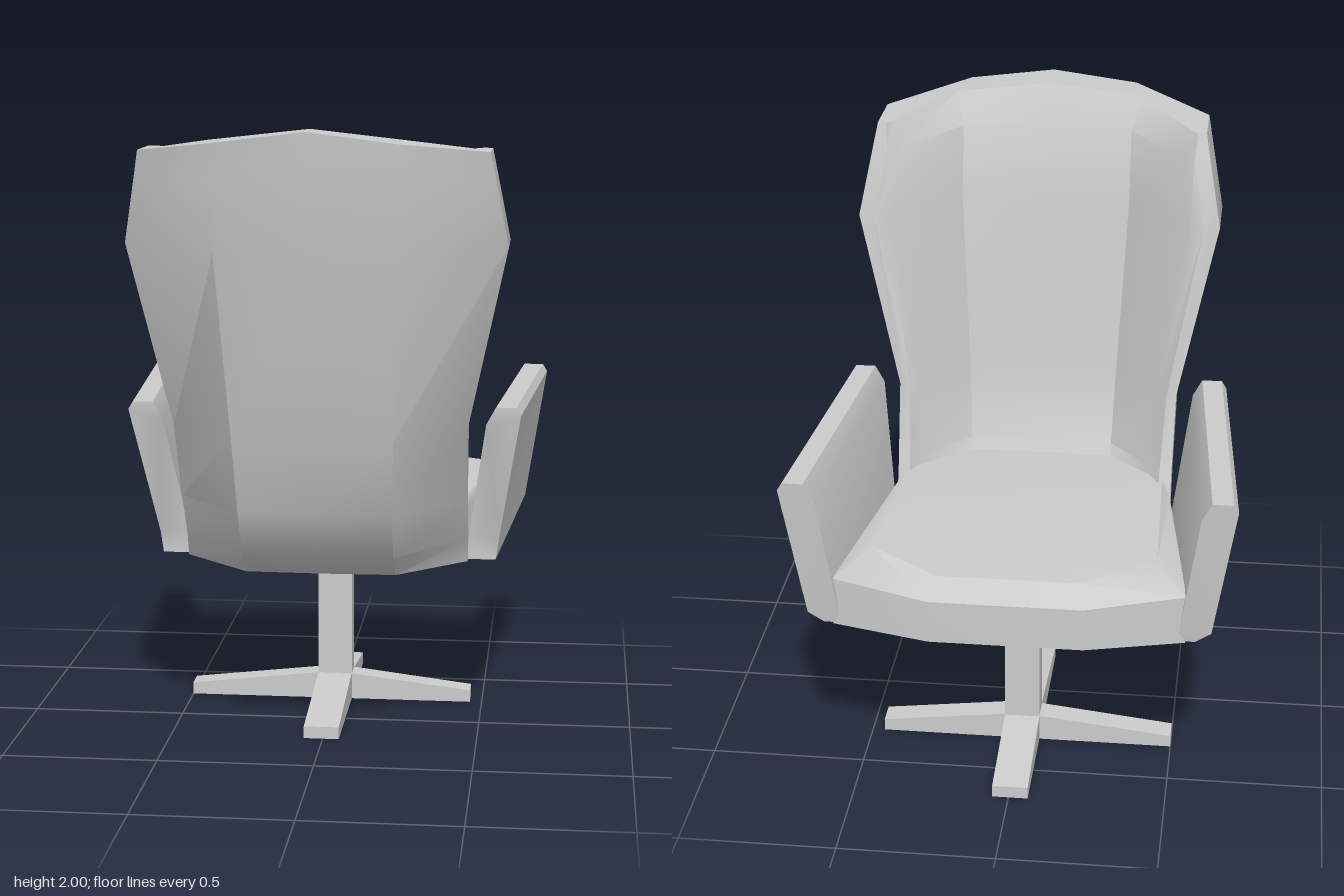
import * as THREE from 'three';
import { toCreasedNormals } from 'three/addons/utils/BufferGeometryUtils.js';

const material = new THREE.MeshStandardMaterial({ color: 0xcccccc });

// Skin a list of equal-length rings; caps join point i to point n-1-i.
function loft(rings, crease) {
  const n = rings[0].length, last = (rings.length - 1) * n;
  const pos = rings.flat(2), idx = [];
  const quad = (a, b, c, d) => idx.push(a, b, c, a, c, d);
  for (let r = 0; r < rings.length - 1; r++) {
    for (let i = 0; i < n; i++) {
      const j = (i + 1) % n, a = r * n, b = a + n;
      quad(a + i, a + j, b + j, b + i);
    }
  }
  for (let i = 0; i < n / 2 - 1; i++) {
    const k = n - 1 - i;
    quad(i, k, k - 1, i + 1);
    quad(last + i, last + i + 1, last + k - 1, last + k);
  }
  // Turn the faces outward if the enclosed volume is negative
  const v = (i) => new THREE.Vector3().fromArray(pos, i * 3);
  let volume = 0;
  for (let i = 0; i < idx.length; i += 3) {
    volume += v(idx[i]).dot(v(idx[i + 1]).cross(v(idx[i + 2])));
  }
  if (volume < 0) idx.reverse();
  const g = new THREE.BufferGeometry();
  g.setAttribute('position', new THREE.Float32BufferAttribute(pos, 3));
  g.setIndex(idx);
  return toCreasedNormals(g, crease);
}

// Flat outline in x/y given a depth, centred along z
function prism(points, depth) {
  const shape = new THREE.Shape(points.map(([x, y]) => new THREE.Vector2(x, y)));
  return new THREE.ExtrudeGeometry(shape, { depth, bevelEnabled: false }).translate(0, 0, -depth / 2);
}

// Mirror a half outline in x to a closed loop
const mirrorLoop = (half) => [...half, ...half.slice().reverse().map(([x, y, z]) => [-x, y, z])];

// One level of the wrap-around backrest: outer shell, wing edge, inner panel
function backRing({ y, crest = 0, w, zb, bx = 0.28, zs, zf, inner, panel }) {
  const [ix, iz] = inner, [px, pz] = panel;
  const mid = y + crest * 0.5, top = y + crest;
  const shell = [[bx, mid, zb], [w, y, zs], [w, y, zf]];
  const face = [[(w + ix) / 2, y, Math.min(zf, iz) - 0.012], [ix, y, iz], [px, mid, pz]];
  const flip = (list) => list.slice().reverse().map(([x, h, z]) => [-x, h, z]);
  return [...flip(shell), [0, top, zb + 0.005], ...shell, ...face, [0, top, pz + 0.01], ...flip(face)];
}

export function createModel() {
  const chair = new THREE.Group();
  const add = (name, geometry) => {
    const mesh = new THREE.Mesh(geometry, material);
    mesh.name = name;
    chair.add(mesh);
    return mesh;
  };

  // Crossed foot with arms tapering towards the tips
  const foot = (a, b, w0, w1) => [[a, 0], [b, 0], [b, 0.04], [w1, 0.09], [w0, 0.09], [a, 0.04]];
  add('footCrossbar', prism(foot(-0.5, 0.46, -0.06, 0.05), 0.08)).position.z = -0.27;
  add('footLengthBar', prism(foot(-0.47, 0.42, -0.04, 0.04), 0.115).rotateY(Math.PI / 2))
    .position.set(-0.005, 0, -0.245);

  // Column and swivel plate
  add('column', new THREE.BoxGeometry(0.115, 0.48, 0.08)).position.set(-0.005, 0.28, -0.27);
  add('swivelPlate', prism([[-0.24, 0.58], [-0.24, 0.565], [-0.19, 0.535], [-0.06, 0.5], [0.06, 0.5],
    [0.19, 0.535], [0.24, 0.565], [0.24, 0.58]], 0.28)).position.z = -0.26;

  // Seat cushion: underside, upper rim, slightly raised top
  add('seat', loft([
    mirrorLoop([[0.24, 0.6, -0.73], [0.55, 0.6, -0.65], [0.46, 0.57, 0.04], [0.24, 0.57, 0.28]]),
    mirrorLoop([[0.24, 0.74, -0.73], [0.55, 0.76, -0.65], [0.46, 0.75, 0.04], [0.24, 0.73, 0.33]]),
    mirrorLoop([[0.22, 0.8, -0.67], [0.45, 0.8, -0.5], [0.43, 0.78, 0.12], [0.24, 0.76, 0.35]]),
  ], 0.6));

  // Backrest
  add('backrest', loft([
    { y: 0.57, w: 0.46, zb: 0.28, bx: 0.24, zs: 0.07, zf: 0.04, inner: [0.38, 0.04], panel: [0.24, 0.15] },
    { y: 0.65, w: 0.46, zb: 0.38, bx: 0.24, zs: 0.1, zf: 0.045, inner: [0.38, 0.06], panel: [0.24, 0.22] },
    { y: 0.8, w: 0.46, zb: 0.47, bx: 0.24, zs: 0.2, zf: 0.1, inner: [0.38, 0.17], panel: [0.24, 0.33] },
    { y: 1.05, w: 0.465, zb: 0.535, bx: 0.25, zs: 0.31, zf: 0.2, inner: [0.4, 0.22], panel: [0.25, 0.38] },
    { y: 1.64, w: 0.59, zb: 0.68, zs: 0.43, zf: 0.22, inner: [0.49, 0.23], panel: [0.28, 0.45] },
    { y: 1.85, crest: 0.03, w: 0.55, zb: 0.71, zs: 0.48, zf: 0.28, inner: [0.45, 0.31], panel: [0.28, 0.5] },
    { y: 1.93, crest: 0.07, w: 0.535, zb: 0.72, zs: 0.5, zf: 0.31, inner: [0.48, 0.34], panel: [0.31, 0.56] },
  ].map(backRing), 0.75));

  // Armrests: leaning slabs that splay outward to the sitter's knees
  const section = [[0.55, 0.57], [0.56, 0.64], [0.63, 1.08], [0.615, 1.105],
    [0.55, 1.105], [0.52, 1.05], [0.46, 0.64], [0.46, 0.57]];
  for (const side of [1, -1]) {
    const rear = section.map(([x, y]) => [side * x, y, y < 0.65 ? 0.04 : 0.21]);
    const fore = section.map(([x, y]) => [side * (x + (y < 0.6 ? 0.03 : 0.07)), y < 0.6 ? 0.605 : y,
      -0.65 - 0.045 * (y - 0.57) / 0.53]);
    add(side > 0 ? 'leftArmrest' : 'rightArmrest', loft([rear, fore], 0.6));
  }
  return chair;
}
